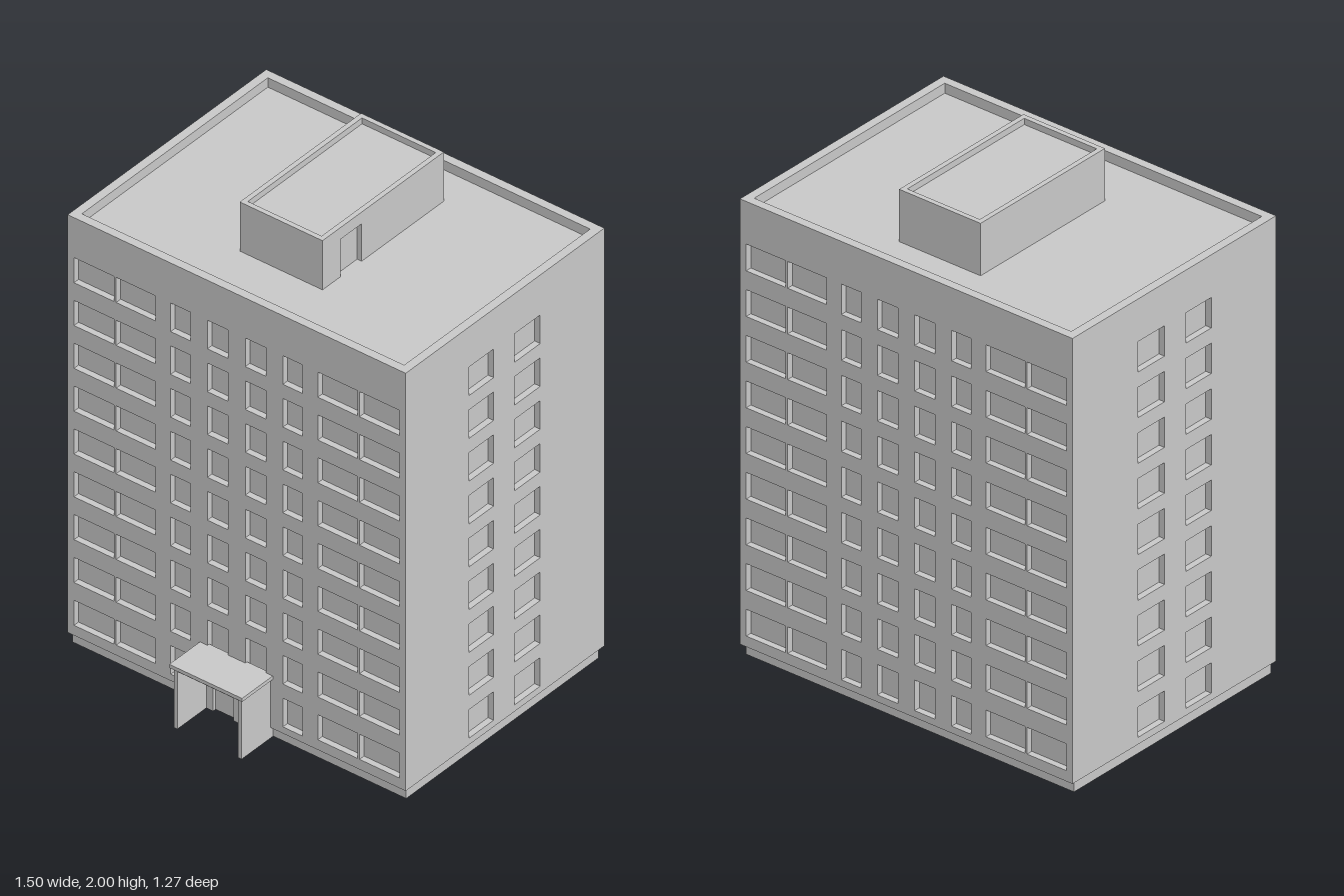
import * as THREE from 'three';

const W = 0.75, ZF = 0.465, ZB = -0.635;      // half width, front and back planes
const Y0 = 0.045, TOP = 1.83, ROOF = 1.79;    // wall foot, parapet top, roof deck
const T = 0.035, RECESS = 0.025;              // wall thickness, window depth
const FLOORS = 9, STEP = 0.183;
const material = new THREE.MeshStandardMaterial({ color: 0xcccccc, flatShading: true });

export function createModel() {
  const model = new THREE.Group();

  const add = (name, geometry, parent = model) => {
    const mesh = new THREE.Mesh(geometry, material);
    mesh.name = name;
    parent.add(mesh);
    return mesh;
  };

  // Box given by its limits
  const box = (name, x0, x1, y0, y1, z0, z1, parent) => {
    const mesh = add(name, new THREE.BoxGeometry(x1 - x0, y1 - y0, z1 - z0), parent);
    mesh.position.set((x0 + x1) / 2, (y0 + y1) / 2, (z0 + z1) / 2);
    return mesh;
  };

  const polygon = (points, Type = THREE.Shape) => new Type(points.map(p => new THREE.Vector2(...p)));
  const rect = (x0, x1, y0, y1, Type) => polygon([[x0, y0], [x1, y0], [x1, y1], [x0, y1]], Type);

  // Upright wall with rectangular openings, outer face at z = 0
  const wall = (name, outline, openings) => {
    const group = new THREE.Group();
    group.name = name;
    const shape = polygon(outline);
    openings.forEach(o => shape.holes.push(rect(...o, THREE.Path)));
    const geometry = new THREE.ExtrudeGeometry(shape, { depth: T, bevelEnabled: false });
    add(name + 'Panel', geometry.translate(0, 0, -T), group);
    const xs = outline.map(p => p[0]);
    box(name + 'Panes', Math.min(...xs) + 0.005, Math.max(...xs) - 0.005, Y0 + 0.005, ROOF - 0.01,
      -T - 0.005, -RECESS, group);
    model.add(group);
    return group;
  };

  // Horizontal rectangular ring, used for the plinth and the parapet
  const ring = (name, outer, inner, y0, y1) => {
    const shape = rect(...outer);
    shape.holes.push(rect(...inner, THREE.Path));
    const geometry = new THREE.ExtrudeGeometry(shape, { depth: y1 - y0, bevelEnabled: false });
    return add(name, geometry.rotateX(-Math.PI / 2).translate(0, y0, 0));
  };

  // Window layout of the long walls: wide pairs outside, narrow ones in the middle
  const longWindows = (skipEntrance) => {
    const list = [];
    for (let i = 0; i < FLOORS; i++) {
      const top = 0.195 + i * STEP;
      for (const s of [-1, 1]) {
        const opening = (a, b, h) => list.push([Math.min(s * a, s * b), Math.max(s * a, s * b), top - h, top]);
        opening(0.36, 0.535, 0.107);
        opening(0.545, 0.722, 0.107);
        opening(0.205, 0.293, 0.122);
        if (i > 0 || !skipEntrance) opening(0.038, 0.13, 0.122);
      }
    }
    return list;
  };

  // Window layout of the short walls, along z
  const shortWindows = (sign) => {
    const list = [];
    for (let i = 0; i < FLOORS; i++) {
      const top = 0.195 + i * STEP;
      for (const [a, b] of [[-0.022, 0.115], [-0.28, -0.138]]) {
        list.push([Math.min(sign * a, sign * b), Math.max(sign * a, sign * b), top - 0.122, top]);
      }
    }
    return list;
  };

  // Front wall, reaching the ground at the entrance with a door notch
  const P = 0.15;
  const front = wall('frontWall', [
    [-W, Y0], [-P, Y0], [-P, 0], [-0.105, 0], [-0.105, 0.175], [-0.015, 0.175], [-0.015, 0],
    [P, 0], [P, Y0], [W, Y0], [W, TOP], [-W, TOP],
  ], [...longWindows(true), [0.055, 0.117, 0.052, 0.165]]);
  front.position.z = ZF;
  box('entranceDoor', -0.11, -0.01, 0, 0.18, ZF - 0.034, ZF - 0.014);

  // Back wall
  const back = wall('backWall', [[-W, Y0], [W, Y0], [W, TOP], [-W, TOP]], longWindows(false));
  back.rotation.y = Math.PI;
  back.position.z = ZB;

  // Side walls between front and back
  for (const s of [1, -1]) {
    const a = -s * (ZB + T), b = -s * (ZF - T);
    const lo = Math.min(a, b), hi = Math.max(a, b);
    const side = wall(s > 0 ? 'leftWall' : 'rightWall',
      [[lo, Y0], [hi, Y0], [hi, TOP], [lo, TOP]], shortWindows(-s));
    side.rotation.y = s * Math.PI / 2;
    side.position.x = s * W;
  }

  // Plinth, floor and roof deck
  ring('plinth', [-0.74, 0.74, -0.45, 0.615], [-0.725, 0.725, -0.435, 0.6], 0, Y0 + 0.005);
  box('groundSlab', -W + 0.01, W - 0.01, Y0 + 0.001, Y0 + 0.015, ZB + 0.01, ZF - 0.03);
  box('roofDeck', -W + 0.03, W - 0.03, ROOF - 0.02, ROOF, ZB + 0.03, ZF - 0.03);

  // Entrance porch: two side walls, a top beam and a canopy
  for (const s of [-1, 1]) {
    box('porchSideWall', s * 0.1425 - 0.0075, s * 0.1425 + 0.0075, 0, 0.255, ZF - 0.01, 0.625);
  }
  box('porchCeiling', -0.135, 0.135, 0.245, 0.256, ZF - 0.01, 0.625);
  box('porchCanopy', -0.163, 0.16, 0.255, 0.27, ZF - 0.01, 0.635);

  // Roof house with a low rim and a recessed door on one side
  const x0 = -0.185, x1 = 0.182, z0 = -0.455, z1 = 0.217, rim = 0.02;
  box('roofHouseCore', x0 + 0.01, x1 - 0.02, ROOF, 1.975, z0 + 0.01, z1 - 0.01);
  box('roofHouseWall', x0, x1, ROOF, 2, z0, z0 + rim);
  box('roofHouseWall', x0, x1, ROOF, 2, z1 - rim, z1);
  box('roofHouseWall', x0, x0 + rim, ROOF, 2, z0 + rim, z1 - rim);
  const doorWall = polygon([
    [-z1 + rim, ROOF], [-0.117, ROOF], [-0.117, 1.95], [0, 1.95], [0, ROOF],
    [-z0 - rim, ROOF], [-z0 - rim, 2], [-z1 + rim, 2],
  ]);
  add('roofHouseDoorWall', new THREE.ExtrudeGeometry(doorWall, { depth: rim, bevelEnabled: false })
    .rotateY(Math.PI / 2).translate(x1 - rim, 0, 0));

  return model;
}
